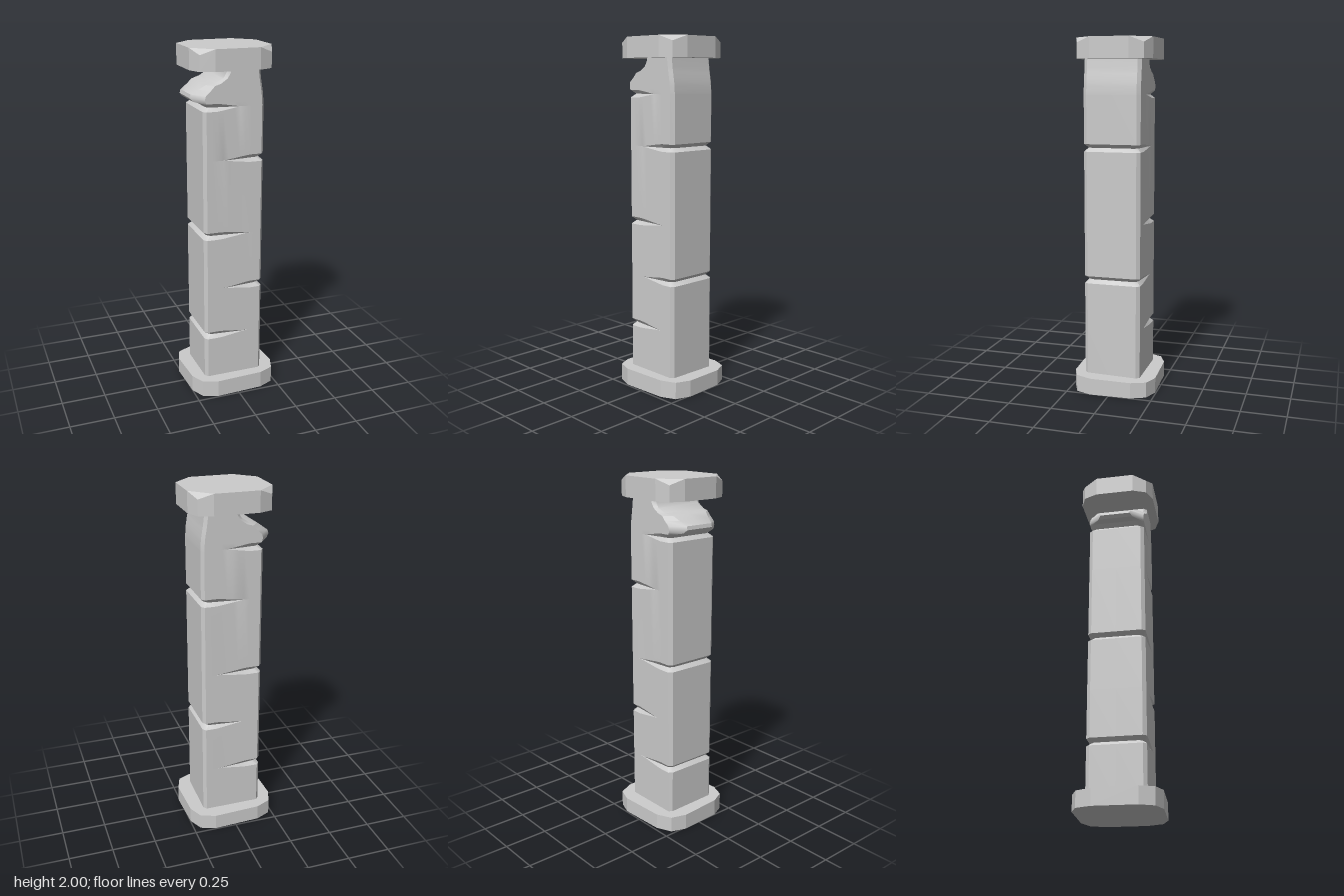
import * as THREE from 'three';
import { toCreasedNormals } from 'three/addons/utils/BufferGeometryUtils.js';
import { ConvexGeometry } from 'three/addons/geometries/ConvexGeometry.js';

const material = new THREE.MeshStandardMaterial({ color: 0xcccccc });
const FACE_STEPS = 10; // divisions across the front and back faces
const Z0 = -0.16, Z1 = 0.165, BEVEL = 0.02;

// Closed outline of one column section: bevelled rectangle as [x, z, onSide]
function section(xL, xR, bL) {
  const pts = [[xR, Z0 + BEVEL, 1], [xR, 0, 1], [xR, Z1 - BEVEL, 1]];
  const a = xR - BEVEL * 0.8, b = xL + bL * 0.8;
  for (let i = 0; i <= FACE_STEPS; i++) pts.push([a + (b - a) * i / FACE_STEPS, Z1, 0]);
  pts.push([xL, Z1 - bL, 1], [xL, 0, 1], [xL, Z0 + bL, 1]);
  for (let i = 0; i <= FACE_STEPS; i++) pts.push([b + (a - b) * i / FACE_STEPS, Z0, 0]);
  return pts;
}

const plainRing = (y, xL = -0.178, xR = 0.17, bL = BEVEL) =>
  section(xL, xR, bL).map(([x, z]) => [x, y, z]);

// Three rings forming a V groove that tapers to a point across front and back
function groove(y, side, reach) {
  return [-1, 0, 1].map((k) => section(-0.178, 0.17, BEVEL).map(([x, z, onSide]) => {
    const t = Math.min(1, Math.max(0, (side * x + reach) / (0.16 + reach)));
    const high = 0.021 * Math.max(0.04, Math.min(1, t * 1.5));
    const depth = k === 0 ? 0.022 * t : 0;
    const zPush = onSide && Math.abs(z) < 0.1 ? 0 : Math.sign(z) * depth;
    const xPush = t > 0.9 ? side * depth : 0;
    return [x - xPush, y + k * high, z - zPush];
  }));
}

// Skin a stack of equal rings
function loft(rings) {
  const n = rings[0].length, index = [];
  for (let j = 0; j < rings.length - 1; j++) {
    for (let i = 0; i < n; i++) {
      const a = j * n + i, b = j * n + (i + 1) % n;
      index.push(a, a + n, b + n, a, b + n, b);
    }
  }
  const geo = new THREE.BufferGeometry();
  geo.setAttribute('position', new THREE.Float32BufferAttribute(rings.flat(2), 3));
  geo.setIndex(index);
  return toCreasedNormals(geo, 0.55);
}

// Twelve-sided slab; topAt gives the top height of each corner
function slab(outline, bottom, topAt) {
  const pts = [];
  outline.forEach(([x, z], i) => {
    pts.push(new THREE.Vector3(x, bottom, z), new THREE.Vector3(x, topAt(x, z, i), z));
  });
  return new ConvexGeometry(pts);
}

export function createModel() {
  const group = new THREE.Group();
  const add = (name, geo) => {
    const mesh = new THREE.Mesh(geo, material);
    mesh.name = name;
    group.add(mesh);
  };

  // Slightly twisted foot slab
  add('base', slab([
    [-0.26, -0.11], [-0.23, -0.195], [-0.145, -0.233], [0.125, -0.245],
    [0.21, -0.213], [0.248, -0.13], [0.258, 0.105], [0.227, 0.193],
    [0.143, 0.23], [-0.127, 0.242], [-0.212, 0.21], [-0.25, 0.13],
  ], 0, (x, z) => 0.093 + 0.02 * z));

  // Column with alternating grooves, then the broken lip and narrow neck
  add('column', loft([
    plainRing(0.05),
    ...groove(0.36, -1, 0.07),
    ...groove(0.65, 1, 0.06),
    ...groove(0.97, -1, 0.085),
    ...groove(1.4, 1, 0.07),
    ...groove(1.69, -1, 0.03),
    plainRing(1.718, -0.215, 0.168, 0.06),
    plainRing(1.735, -0.23, 0.167, 0.075),
    plainRing(1.755, -0.225, 0.165, 0.075),
    plainRing(1.78, -0.185, 0.161, 0.06),
    plainRing(1.805, -0.15, 0.157, 0.045),
    plainRing(1.815, -0.105, 0.155, 0.03),
    plainRing(1.84, -0.06, 0.152, 0.02),
    plainRing(1.87, -0.042, 0.148, 0.02),
    plainRing(1.9, -0.04, 0.145, 0.02),
  ]));

  // Top slab with its corners chipped down
  add('capital', slab([
    [-0.237, -0.11], [-0.205, -0.187], [-0.13, -0.218], [0.118, -0.218],
    [0.195, -0.187], [0.227, -0.11], [0.227, 0.108], [0.195, 0.187],
    [0.12, 0.217], [-0.13, 0.217], [-0.205, 0.187], [-0.237, 0.11],
  ], 1.885, (x, z, i) => (i % 3 === 1 ? 1.97 : 2)));

  return group;
}
